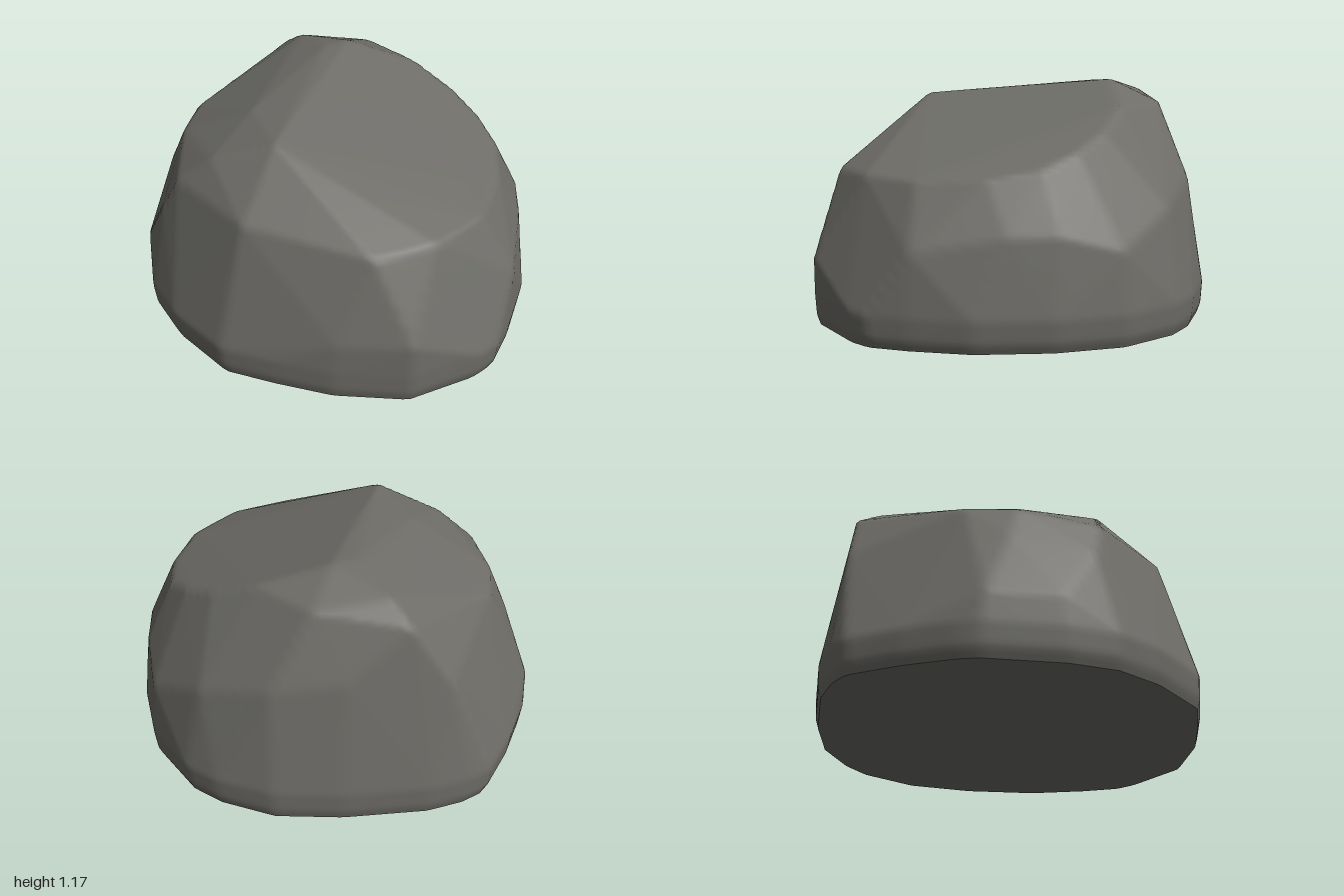
import * as THREE from 'three';
import { ConvexGeometry } from 'three/addons/geometries/ConvexGeometry.js';
import { mergeVertices } from 'three/addons/utils/BufferGeometryUtils.js';

// Widest contour of the boulder, as [x, z]
const OUTLINE = [
  [-0.71, -0.87], [-0.6, -0.93], [-0.41, -0.98], [0.02, -0.995], [0.36, -0.96], [0.63, -0.84],
  [0.77, -0.73], [0.94, -0.46], [1, -0.12], [0.985, 0.26], [0.9, 0.55], [0.82, 0.74],
  [0.73, 0.82], [0.4, 0.99], [0.02, 0.975], [-0.28, 0.9], [-0.54, 0.82], [-0.81, 0.56],
  [-0.95, 0.34], [-1, 0.1], [-1, -0.3], [-0.97, -0.4], [-0.86, -0.63],
];

// Corners of the shoulder facets, as [x, y, z]
const SHOULDER = [
  [-1, 0.31, 0.08], [-1, 0.3, -0.28], [0.4, 0.34, 0.99], [0.04, 0.32, 0.97],
  [0.89, 0.46, 0.54], [0.95, 0.53, 0.1], [0.955, 0.53, -0.15], [0.92, 0.45, -0.44],
  [0.68, 0.6, -0.7], [0.35, 0.7, -0.87], [0, 0.75, -0.91], [-0.5, 0.7, -0.88],
  [-0.88, 0.66, -0.15], [-0.88, 0.6, 0.25],
];

// Corners of the sloping top facets, as [x, y, z]
const CROWN = [
  [0.04, 1.17, -0.53], [-0.08, 1.16, -0.48], [-0.28, 1.08, 0.4], [-0.22, 1.1, -0.73],
  [-0.3, 1.01, -0.85], [0.15, 1.06, -0.76], [0.4, 1.06, -0.52], [0.6, 0.96, -0.4],
  [0.73, 0.89, -0.25], [0.82, 0.82, -0.08], [0.82, 0.78, 0.18], [0.72, 0.76, 0.5],
  [0.5, 0.76, 0.73], [0.2, 0.75, 0.86], [-0.42, 0.8, 0.68], [-0.8, 0.85, -0.1],
  [-0.76, 0.85, -0.35], [-0.6, 0.95, 0.33], [-0.78, 0.8, 0.3], [-0.42, 1.065, 0.05],
];

// Convex rock planes read from a hull around the key corners
function rockPlanes() {
  const corners = [...SHOULDER, ...CROWN].map((p) => new THREE.Vector3(...p));
  for (const [x, z] of OUTLINE) {
    corners.push(new THREE.Vector3(x * 0.96, 0, z * 0.98));
    corners.push(new THREE.Vector3(x * 0.985, 0.05, z * 0.995));
    corners.push(new THREE.Vector3(x, 0.16, z));
  }
  const pos = new ConvexGeometry(corners).getAttribute('position');
  const planes = [];
  for (let i = 0; i < pos.count; i += 3) {
    const [a, b, c] = [0, 1, 2].map((k) => new THREE.Vector3().fromBufferAttribute(pos, i + k));
    const plane = new THREE.Plane().setFromCoplanarPoints(a, b, c);
    if (-plane.constant > 0.1) planes.push(plane);
  }
  return planes;
}

export function createModel() {
  const group = new THREE.Group();
  group.name = 'boulder';
  const stone = new THREE.MeshStandardMaterial({ color: 0x6e6d68 });
  stone.name = 'dark grey stone';

  // Fine dome pushed out to the rock planes, so facets meet in softened edges
  const segments = 180;
  const dome = new THREE.SphereGeometry(1, segments, 72, 0, Math.PI * 2, 0, Math.PI / 2);
  const planes = rockPlanes();
  const pos = dome.getAttribute('position');
  const dir = new THREE.Vector3();
  for (let i = 0; i < pos.count; i++) {
    dir.fromBufferAttribute(pos, i).normalize();
    let r = 2;
    for (const { normal, constant } of planes) {
      const facing = normal.dot(dir);
      if (facing > 1e-4) r = Math.min(r, -constant / facing);
    }
    dir.multiplyScalar(r);
    pos.setXYZ(i, dir.x, dir.y, dir.z);
  }

  // Flat underside shares the lowest ring of the dome
  const rim = [];
  for (let i = pos.count - segments - 1; i < pos.count - 1; i++) {
    rim.push(new THREE.Vector2(pos.getX(i), pos.getZ(i)));
  }
  const base = new THREE.Mesh(new THREE.ShapeGeometry(new THREE.Shape(rim)), stone);
  base.geometry.rotateX(Math.PI / 2);
  base.name = 'underside';

  dome.deleteAttribute('uv');
  dome.deleteAttribute('normal');
  const surface = mergeVertices(dome, 1e-4);
  surface.computeVertexNormals();
  const rock = new THREE.Mesh(surface, stone);
  rock.name = 'rockSurface';

  group.add(rock, base);
  return group;
}
